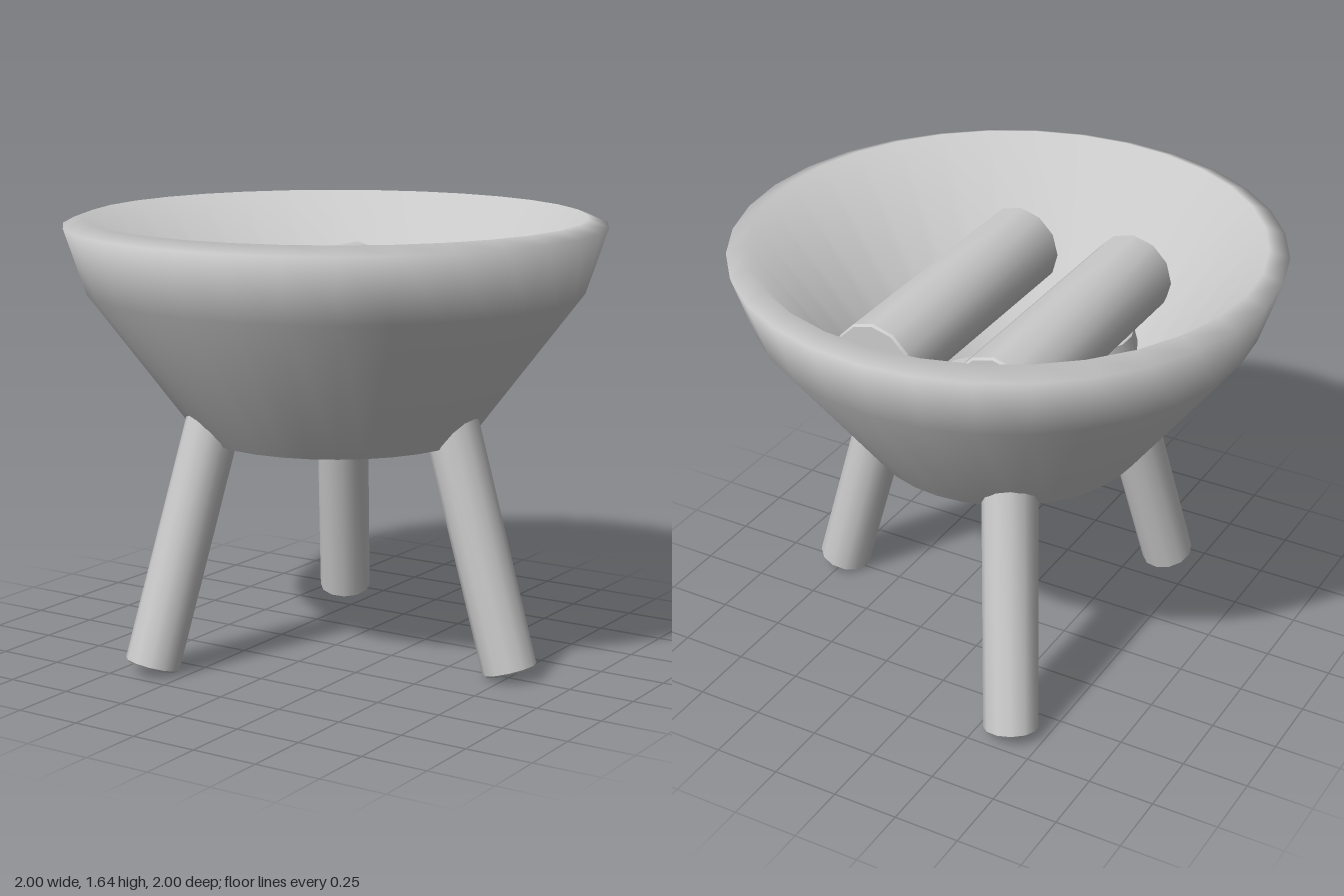
import * as THREE from 'three';
import { mergeGeometries, toCreasedNormals } from 'three/addons/utils/BufferGeometryUtils.js';

const material = new THREE.MeshStandardMaterial({ color: 0xcccccc });

// Revolve [radius, height] profiles: smooth along each one, sharp where two meet
function turned(name, sides, ...profiles) {
  const pieces = profiles.map((profile) => {
    const points = profile.map(([r, y]) => new THREE.Vector2(r, y));
    return toCreasedNormals(new THREE.LatheGeometry(points, sides), 1.6);
  });
  const mesh = new THREE.Mesh(mergeGeometries(pieces), material);
  mesh.name = name;
  return mesh;
}

// Solid round bar along y with slightly eased ends
function bar(name, radius, length) {
  const h = length / 2;
  const b = 0.008;
  return turned(name, 12,
    [[0, -h], [radius - b, -h]],
    [[radius - b, -h], [radius, b - h]],
    [[radius, b - h], [radius, h - b]],
    [[radius, h - b], [radius - b, h]],
    [[radius - b, h], [0, h]]);
}

export function createModel() {
  const model = new THREE.Group();
  model.name = 'firePit';

  // Bowl: underside, outer wall over the rim and down the inside, floor
  model.add(turned('bowl', 32,
    [[0, 0.84], [0.515, 0.84]],
    [[0.515, 0.84], [0.92, 1.38], [1, 1.62], [0.925, 1.648], [0.43, 0.93]],
    [[0.43, 0.93], [0, 0.93]]));

  // Three splayed legs whose tops reach through the bowl wall
  const foot = new THREE.Vector3(0.755, 0.03, 0);
  const top = new THREE.Vector3(0.435, 1.14, 0);
  const axis = top.clone().sub(foot);
  for (let i = 0; i < 3; i++) {
    const leg = bar('leg', 0.101, axis.length());
    leg.position.copy(foot).add(top).multiplyScalar(0.5);
    leg.quaternion.setFromUnitVectors(
      new THREE.Vector3(0, 1, 0), axis.clone().normalize());
    const mount = new THREE.Group();
    mount.name = 'legMount';
    mount.rotation.y = (i * Math.PI * 2) / 3;
    mount.add(leg);
    model.add(mount);
  }

  // Two parallel logs lying in the bowl
  for (const side of [-1, 1]) {
    const log = bar('log', 0.161, 1.074);
    log.rotation.x = Math.PI / 2;
    log.position.set(side * 0.24, 1.32, 0);
    model.add(log);
  }

  return model;
}
